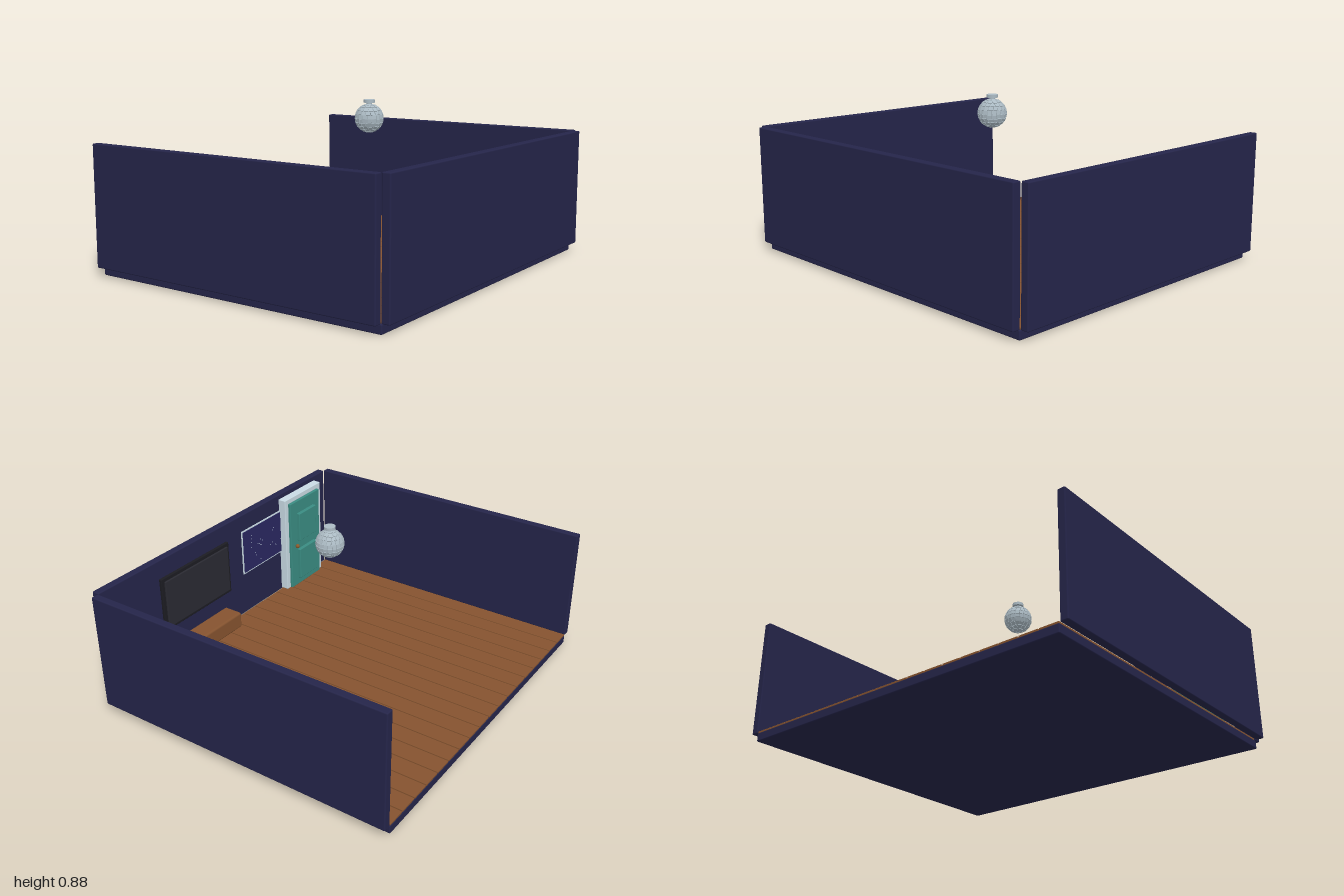
import * as THREE from 'three';
import { RoundedBoxGeometry } from 'three/addons/geometries/RoundedBoxGeometry.js';

const mat = (name, color) => {
  const m = new THREE.MeshStandardMaterial({ color });
  m.name = name;
  return m;
};

export function createModel() {
  const navy = mat('navy wall', 0x25254a);
  const wood = mat('wood', 0x85532f);
  const black = mat('screen frame black', 0x1c1c22);
  const glass = mat('screen charcoal', 0x2a2a32);
  const white = mat('white trim', 0xc9dbe4);
  const teal = mat('door teal', 0x3a8c82);
  const night = mat('night sky', 0x2a2760);
  const silver = mat('silver', 0xacbbc4);
  const brass = mat('brass', 0x8a5a2c);

  const model = new THREE.Group();
  model.name = 'room';

  // Box given by its limits on each axis; a radius rounds the edges
  function box(parent, name, m, [x0, x1], [y0, y1], [z0, z1], r = 0) {
    const w = x1 - x0, h = y1 - y0, d = z1 - z0;
    const geo = r ? new RoundedBoxGeometry(w, h, d, 2, r) : new THREE.BoxGeometry(w, h, d);
    const mesh = new THREE.Mesh(geo, m);
    mesh.position.set((x0 + x1) / 2, (y0 + y1) / 2, (z0 + z1) / 2);
    mesh.name = name;
    parent.add(mesh);
    return mesh;
  }
  function group(name) {
    const g = new THREE.Group();
    g.name = name;
    model.add(g);
    return g;
  }

  // Shell: floor slab, two side walls and front wall
  box(model, 'floorSlab', navy, [-0.955, 0.955], [0, 0.046], [-0.87, 0.83], 0.006);
  box(model, 'frontWall', navy, [-0.955, 0.955], [0.047, 0.68], [0.826, 0.87], 0.006);
  box(model, 'leftWall', navy, [0.958, 1], [0.047, 0.68], [-0.87, 0.828], 0.006);
  box(model, 'rightWall', navy, [-1, -0.958], [0.047, 0.68], [-0.87, 0.828], 0.006);

  // Floor planks with narrow gaps
  const planks = group('floorPlanks');
  const count = 18, pitch = 1.91 / count;
  for (let i = 0; i < count; i++) {
    const x = -0.955 + i * pitch;
    box(planks, 'plank', wood, [x + 0.003, x + pitch - 0.003], [0.044, 0.055], [-0.868, 0.818], 0.002);
  }

  // Wall screen and the low console under it
  const screen = group('wallScreen');
  box(screen, 'screenFrame', black, [0, 0.545], [0.26, 0.575], [0.81, 0.828], 0.004);
  box(screen, 'screenPanel', glass, [0.02, 0.525], [0.28, 0.555], [0.8, 0.812], 0.003);
  box(model, 'console', wood, [0.04, 0.505], [0.073, 0.168], [0.71, 0.827], 0.012);

  // Night window: thin white border, sky and stars
  const win = group('nightWindow');
  box(win, 'windowBorder', white, [-0.59, -0.13], [0.305, 0.58], [0.821, 0.828]);
  box(win, 'windowSky', night, [-0.582, -0.138], [0.313, 0.572], [0.818, 0.826]);
  let seed = 7;
  const rand = () => (seed = (seed * 16807) % 2147483647) / 2147483647;
  const starGeo = new THREE.SphereGeometry(0.003, 6, 4);
  for (let i = 0; i < 20; i++) {
    const star = new THREE.Mesh(starGeo, white);
    star.name = 'star';
    star.position.set(-0.54 + 0.36 * rand(), 0.335 + 0.215 * rand(), 0.817);
    win.add(star);
  }

  // Door: trim on three sides, leaf, two raised panels and a knob
  const door = group('door');
  for (const [a, b] of [[-0.848, -0.815], [-0.522, -0.489]])
    box(door, 'doorJamb', white, [a, b], [0.055, 0.65], [0.778, 0.828], 0.004);
  box(door, 'doorHead', white, [-0.848, -0.489], [0.62, 0.652], [0.778, 0.828], 0.004);
  box(door, 'doorLeaf', teal, [-0.815, -0.522], [0.055, 0.62], [0.765, 0.826], 0.004);
  for (const ys of [[0.1, 0.3], [0.36, 0.54]])
    box(door, 'doorPanel', teal, [-0.755, -0.585], ys, [0.745, 0.77], 0.004);
  const knob = new THREE.Mesh(new THREE.SphereGeometry(0.013, 12, 8), brass);
  knob.name = 'doorKnob';
  knob.position.set(-0.568, 0.33, 0.752);
  door.add(knob);

  // Hanging mirror ball: faceted sphere with tile rows, neck and cap
  const ball = group('mirrorBall');
  ball.position.set(0.028, 0.78, 0.09);
  const facet = silver.clone();
  facet.name = 'silver facets';
  facet.flatShading = true;
  const sphere = new THREE.Mesh(new THREE.SphereGeometry(0.072, 20, 14), facet);
  sphere.name = 'ballCore';
  ball.add(sphere);
  const rows = 11;
  for (let r = 1; r < rows; r++) {
    const lat = (r / rows - 0.5) * Math.PI;
    const n = Math.max(6, Math.round(20 * Math.cos(lat)));
    const h = 0.074 * Math.PI / rows * 0.9;
    const w = 2 * Math.PI * 0.074 * Math.cos(lat) / n * 0.9;
    const tileGeo = new THREE.BoxGeometry(w, h, 0.006);
    for (let i = 0; i < n; i++) {
      const a = i / n * Math.PI * 2;
      const tile = new THREE.Mesh(tileGeo, silver);
      tile.name = 'mirrorTile';
      tile.position.set(Math.cos(lat) * Math.sin(a), Math.sin(lat), Math.cos(lat) * Math.cos(a)).multiplyScalar(0.072);
      tile.lookAt(tile.position.clone().multiplyScalar(2));
      ball.add(tile);
    }
  }
  for (const [name, rad, y, h] of [['ballNeck', 0.014, 0.076, 0.02], ['ballCap', 0.03, 0.089, 0.016]]) {
    const c = new THREE.Mesh(new THREE.CylinderGeometry(rad, rad, h, 20), silver);
    c.name = name;
    c.position.y = y;
    ball.add(c);
  }

  return model;
}
